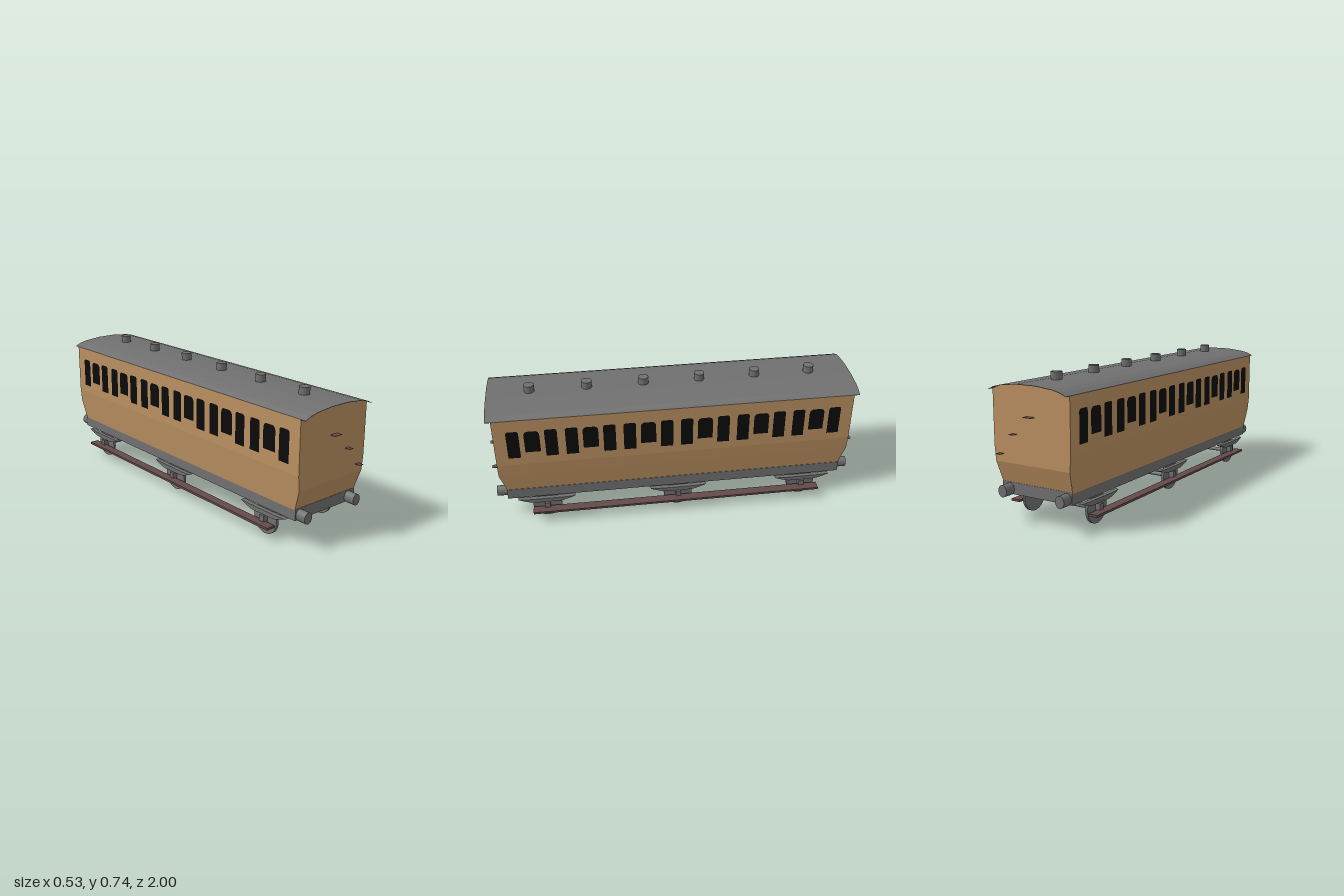
import * as THREE from 'three';

const material = (name, color, side = THREE.FrontSide) => {
  const m = new THREE.MeshStandardMaterial({ color, side });
  m.name = name;
  return m;
};

export function createModel() {
  const grey = material('grey', 0x707070);
  const tan = material('tan', 0xba9060);
  const brown = material('dark brown', 0x654a4a);
  const black = material('window black', 0x0a0a0a);

  const model = new THREE.Group();
  model.name = 'railwayCarriage';
  const upper = new THREE.Group();
  upper.name = 'upperCarriage';
  upper.position.x = -0.0035;
  const gear = new THREE.Group();
  gear.name = 'runningGear';
  gear.position.x = -0.0015;
  model.add(upper, gear);

  const add = (parent, name, geometry, mat, x = 0, y = 0, z = 0) => {
    const mesh = new THREE.Mesh(geometry, mat);
    mesh.name = name;
    mesh.position.set(x, y, z);
    parent.add(mesh);
    return mesh;
  };
  const shapeOf = pts => new THREE.Shape(pts.map(p => new THREE.Vector2(...p)));
  const extrude = (pts, depth) =>
    new THREE.ExtrudeGeometry(shapeOf(pts), { depth, bevelEnabled: false }).translate(0, 0, -depth / 2);

  // Body: box whose four levels follow [y, half width, half length]
  const levels = [[0.2, 0.211, 0.936], [0.31, 0.2225, 0.97], [0.385, 0.2295, 0.97], [0.665, 0.2295, 0.97]];
  const box = new THREE.BoxGeometry(2, 3, 2, 1, 3, 1);
  const pos = box.attributes.position;
  for (let i = 0; i < pos.count; i++) {
    const [y, hw, hl] = levels[Math.round(pos.getY(i) + 1.5)];
    pos.setXYZ(i, pos.getX(i) * hw, y, pos.getZ(i) * hl);
  }
  const bodyGeometry = box.toNonIndexed();
  bodyGeometry.computeVertexNormals();
  add(upper, 'body', bodyGeometry, tan);

  // Gables and thin curved roof
  const half = [[0.2295, 0.665], [0.197, 0.68], [0.155, 0.69], [0.055, 0.7]];
  const arc = [...half, ...half.map(([x, y]) => [-x, y]).reverse()];
  const lowered = arc.map(([x, y]) => [x, y - 0.002]);
  add(upper, 'gables', extrude(lowered, 1.94), tan);
  add(upper, 'roof', extrude([...arc, ...lowered.slice().reverse()], 2), grey);

  // Six compartments: a roof vent and three windows on each side
  const windowShape = (w, y0, y1, cut) => new THREE.ShapeGeometry(shapeOf([
    [-w / 2, y0], [w / 2, y0], [w / 2, y1 - cut], [w / 2 - cut * 0.4, y1 - cut * 0.3], [w / 2 - cut, y1],
    [-w / 2 + cut, y1], [-w / 2 + cut * 0.4, y1 - cut * 0.3], [-w / 2, y1 - cut]]));
  const doorWindow = windowShape(0.082, 0.462, 0.593, 0.018);
  const sideWindow = windowShape(0.066, 0.43, 0.597, 0.01);
  const vent = new THREE.CylinderGeometry(0.028, 0.028, 0.045, 20);
  for (let i = 0; i < 6; i++) {
    const z = (i - 2.5) * 0.308;
    add(upper, 'roofVent', vent, grey, 0, 0.7165, z);
    for (const s of [-1, 1]) {
      for (const k of [-1, 0, 1]) {
        add(upper, k ? 'sideWindow' : 'doorWindow', k ? sideWindow : doorWindow, black,
          s * 0.231, 0, z + k * 0.1).rotation.y = s * Math.PI / 2;
      }
    }
  }

  // Climbing steps and buffers on both ends
  const buffer = new THREE.CylinderGeometry(0.0255, 0.0255, 0.07, 24).rotateX(Math.PI / 2).scale(1, 1.19, 1);
  for (const s of [-1, 1]) {
    for (const [x, y, w] of [[0, 0.546, 0.05], [0.1, 0.455, 0.027], [0.184, 0.352, 0.027]]) {
      add(upper, 'endStep', new THREE.BoxGeometry(w, 0.002, 0.03), brown, x, y, s * 0.985);
    }
    for (const x of [-0.173, 0.173]) add(upper, 'buffer', buffer, grey, x - 0.007, 0.17, s * 0.961);
  }

  // Underframe
  add(gear, 'underframe', new THREE.BoxGeometry(0.423, 0.06, 1.878), grey, 0, 0.175, 0);

  // Three axles with wheels, axle boxes and leaf springs
  const wheel = new THREE.CylinderGeometry(0.08, 0.08, 0.014, 32).rotateZ(Math.PI / 2);
  const axle = new THREE.CylinderGeometry(0.011, 0.011, 0.318, 16).rotateZ(Math.PI / 2);
  const axleBox = new THREE.BoxGeometry(0.028, 0.045, 0.03);
  const spring = extrude([[-0.075, 0.11], [0.075, 0.11], [0.115, 0.121], [0.157, 0.137],
    [0.09, 0.134], [-0.09, 0.134], [-0.157, 0.137], [-0.115, 0.121]], 0.025).rotateY(Math.PI / 2);
  for (const z of [-0.727, -0.01, 0.727]) {
    add(gear, 'axle', axle, grey, 0, 0.076, z);
    for (const s of [-1, 1]) {
      add(gear, 'wheel', wheel, grey, s * 0.195, 0.08, z);
      add(gear, 'axleBox', axleBox, grey, s * 0.216, 0.0825, z);
      add(gear, 'leafSpring', spring, grey, s * 0.212, 0, z);
    }
  }

  // Long footboards
  for (const s of [-1, 1]) {
    add(gear, 'footboard', new THREE.BoxGeometry(0.052, 0.012, 1.625), brown, s * 0.24, 0.0675, -0.006);
  }
  return model;
}
